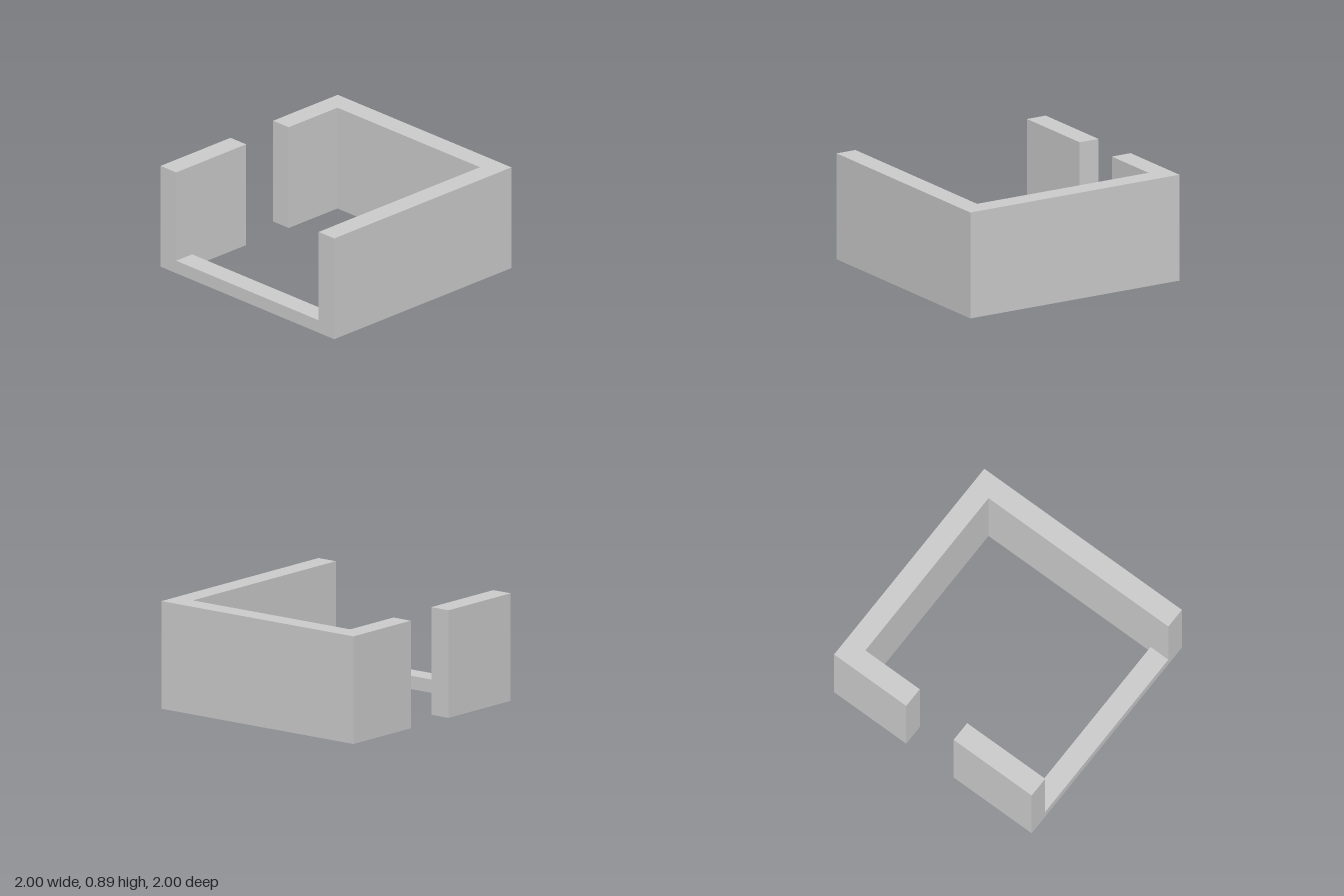
import * as THREE from 'three';
import { mergeGeometries } from 'three/addons/utils/BufferGeometryUtils.js';

const H = 0.89;     // full wall height
const LOW = 0.11;   // low sill height
const IN = 0.82;    // inner face of the walls
const material = new THREE.MeshStandardMaterial({ color: 0xcccccc, side: THREE.DoubleSide });

// Upright panel between two plan points, facing outward
function panel([x1, z1], [x2, z2], y0, y1) {
  const dx = x2 - x1, dz = z2 - z1;
  return new THREE.PlaneGeometry(Math.hypot(dx, dz), y1 - y0)
    .rotateY(Math.atan2(-dz, dx))
    .translate((x1 + x2) / 2, (y0 + y1) / 2, (z1 + z2) / 2);
}

// Horizontal face over a plan outline
function cap(outline, y) {
  const shape = new THREE.Shape(outline.map(([x, z]) => new THREE.Vector2(x, -z)));
  return new THREE.ShapeGeometry(shape).rotateX(-Math.PI / 2).translate(0, y, 0);
}

// Horizontal rectangle facing down
function underside(x1, x2, z1, z2, y) {
  return new THREE.PlaneGeometry(x2 - x1, z2 - z1)
    .rotateX(Math.PI / 2)
    .translate((x1 + x2) / 2, y, (z1 + z2) / 2);
}

// Hollow wall, open below: each point is [x, z, base of the panel that starts there]
function wall(name, outline, height, extras = []) {
  const parts = [cap(outline, height), ...extras];
  outline.forEach((p, i) => {
    const base = p[2] ?? 0;
    if (base < height) parts.push(panel(p, outline[(i + 1) % outline.length], base, height));
  });
  const mesh = new THREE.Mesh(mergeGeometries(parts), material);
  mesh.name = name;
  return mesh;
}

export function createModel() {
  const group = new THREE.Group();
  group.name = 'walledRoom';

  // Front, side and short back wall in one run
  group.add(wall('mainWall', [
    [-1, 1], [1, 1], [1, -1], [0.27, -1], [0.27, -IN],
    [IN, -IN], [IN, IN], [-IN, IN, LOW], [-1, IN],
  ], H));

  // Back wall on the other side of the doorway, partly closed underneath
  const step = -0.455;
  group.add(wall('backWall', [
    [-0.21, -1], [-1, -1], [-1, -IN, LOW], [-IN, -IN], [-0.21, -IN],
  ], H, [
    underside(step, -0.21, -1, -IN, 0),
    underside(-1, step, -1, -IN, LOW),
    panel([step, -1], [step, -IN], 0, LOW),
  ]));

  // Low sill joining the two walls, open at both ends
  group.add(wall('lowSill', [
    [-1, -IN], [-1, IN, LOW], [-IN, IN], [-IN, -IN, LOW],
  ], LOW));

  return group;
}
